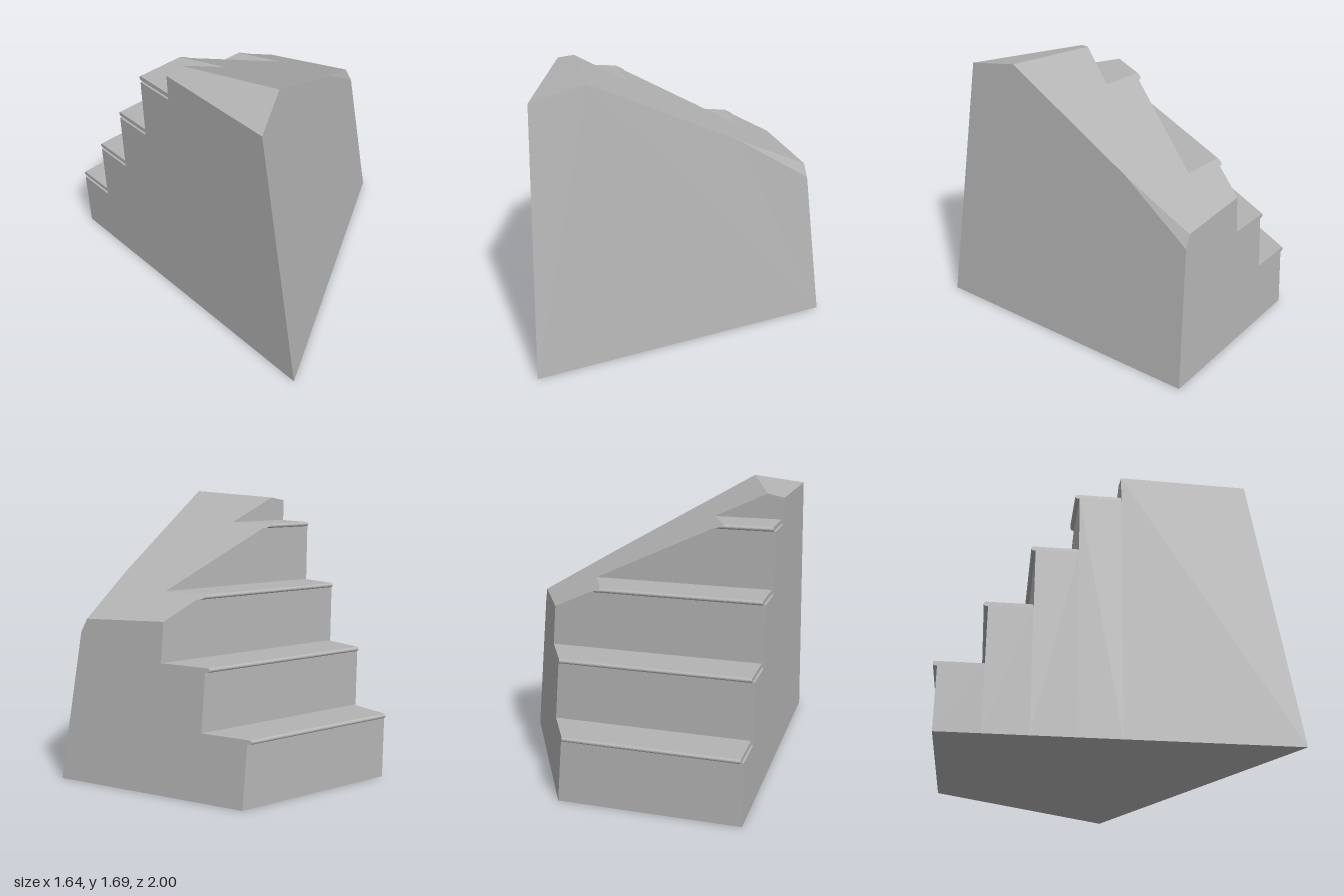
import * as THREE from 'three';
import { ConvexGeometry } from 'three/addons/geometries/ConvexGeometry.js';

// A plane is [nx, ny, nz, d]; the solid lies where n.p <= d.
function through(a, b, c) {
  const p = new THREE.Plane().setFromCoplanarPoints(
    new THREE.Vector3(...a), new THREE.Vector3(...b), new THREE.Vector3(...c));
  if (p.distanceToPoint(new THREE.Vector3(-0.2, 0.3, 0)) > 0) p.negate();
  return [p.normal.x, p.normal.y, p.normal.z, -p.constant];
}

// Convex solid enclosed by a list of planes: keep the corners inside all of them.
function solid(planes) {
  const corners = [];
  const n = planes.map(p => new THREE.Vector3(p[0], p[1], p[2]));
  const cross = new THREE.Vector3();
  for (let i = 0; i < n.length; i++)
    for (let j = i + 1; j < n.length; j++)
      for (let k = j + 1; k < n.length; k++) {
        const det = n[i].dot(cross.crossVectors(n[j], n[k]));
        if (Math.abs(det) < 1e-6) continue;
        const v = new THREE.Vector3().addScaledVector(cross, planes[i][3]);
        v.addScaledVector(new THREE.Vector3().crossVectors(n[k], n[i]), planes[j][3]);
        v.addScaledVector(new THREE.Vector3().crossVectors(n[i], n[j]), planes[k][3]);
        v.divideScalar(det);
        const inside = planes.every((p, m) => n[m].dot(v) <= p[3] + 1e-6);
        if (inside && !corners.some(c => c.distanceTo(v) < 1e-5)) corners.push(v);
      }
  return new ConvexGeometry(corners);
}

export function createModel() {
  const group = new THREE.Group();
  const stone = new THREE.MeshStandardMaterial({ color: 0xb3b3b3 });
  stone.name = 'grey stone';
  const add = (name, planes) => {
    const mesh = new THREE.Mesh(solid(planes), stone);
    mesh.name = name;
    group.add(mesh);
  };

  // Outer faces shared by every block
  const peak = [-0.53, 1.69, 0.58];
  const ridgeEnd = [-0.72, 1.66, 0.01];
  const shell = [
    [0, -1, 0, 0],                                                    // base
    [0.561, 0.152, 1, 0.54],                                          // front
    [1, 0.072, -0.54, 0.777],                                         // right side
    through(peak, [0.69, 0.985, -0.03], ridgeEnd),                    // long slope
    through(peak, [-0.82, 1.63, 0.75], ridgeEnd),                     // crest facet
    through([0.3, 1.212, 0.188], [0.69, 0.985, -0.03], [0.715, 0.9, 0.004]), // corner bevel
  ];
  const leftAt = x => [-1, 0, 0, -x];
  const behind = z => [0, 0, -1, -z];
  const ahead = z => [0, 0, 1, z];
  const below = y => [0, 1, 0, y];

  // Riser depths and tread heights, from the top step down
  const risers = [0.01, -0.235, -0.48, -0.728, -0.976];
  const treads = [1.51, 1.14, 0.77, 0.4];
  const thick = 0.026, radius = thick / 2, overhang = 0.024;

  add('mainBlock', [...shell, leftAt(-0.82), behind(risers[0])]);

  treads.forEach((y, i) => {
    const back = risers[i], front = risers[i + 1];
    add('stepBlock' + (i + 1),
      [...shell, leftAt(-0.82), ahead(back), behind(front), below(y - thick)]);

    // Tread slab with a half-round nose, trimmed by the outer faces
    const cy = y - radius, cz = front - overhang + radius;
    const nose = [];
    for (let s = 0; s <= 8; s++) {
      const a = (s / 8 - 0.5) * Math.PI;
      const ny = Math.sin(a), nz = -Math.cos(a);
      nose.push([0, ny, Math.abs(nz) < 1e-9 ? 0 : nz, ny * cy + nz * cz + radius]);
    }
    add('tread' + (i + 1), [...shell, leftAt(-0.807), ahead(back), ...nose]);
  });
  return group;
}
